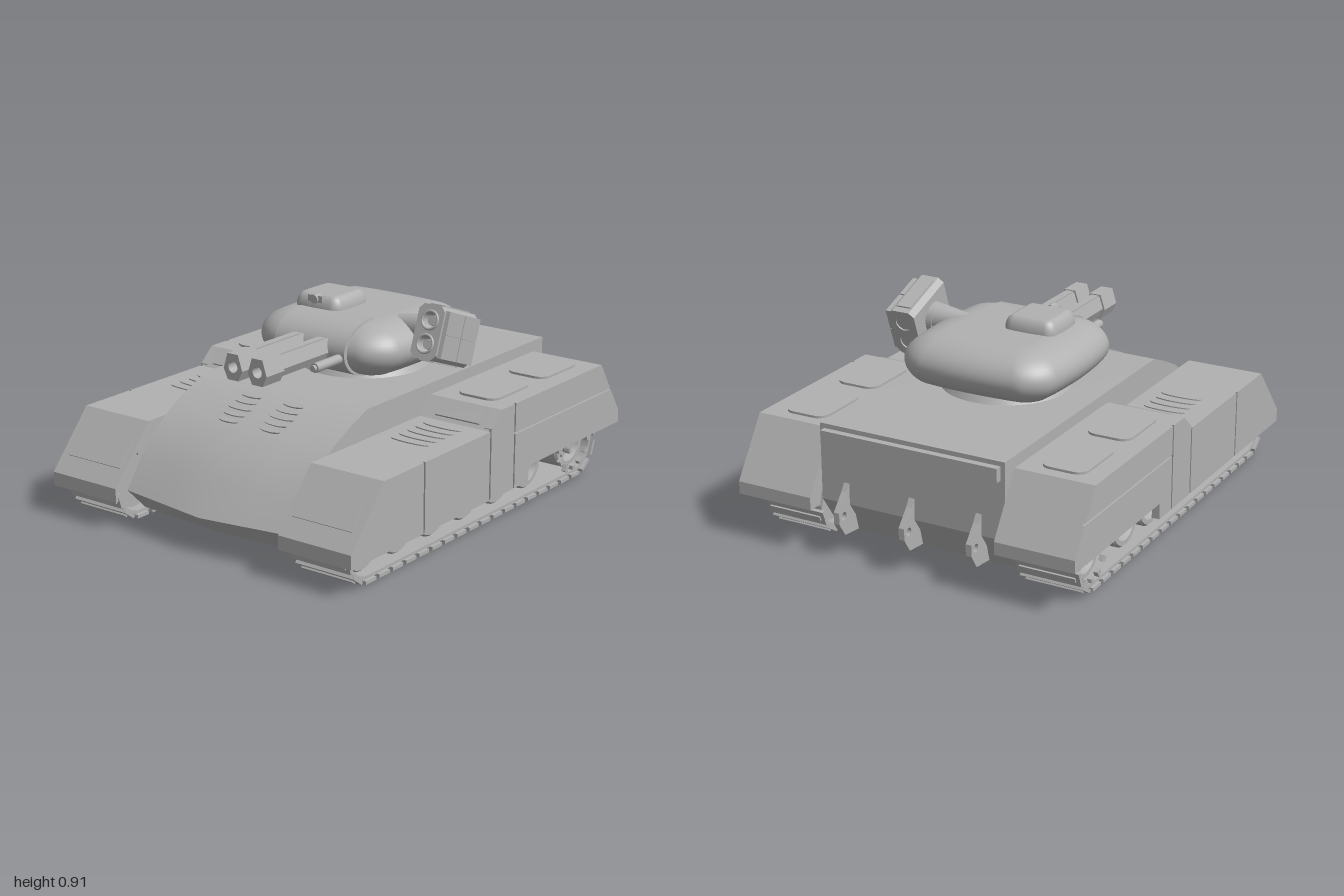
import * as THREE from 'three';
import { toCreasedNormals } from 'three/addons/utils/BufferGeometryUtils.js';
import { ParametricGeometry } from 'three/addons/geometries/ParametricGeometry.js';

const grey = new THREE.MeshStandardMaterial({ color: 0xb0b0b0 });
grey.name = 'plain grey';

function add(parent, name, geo, x = 0, y = 0, z = 0, rx = 0, ry = 0, rz = 0) {
  const m = new THREE.Mesh(geo, grey);
  m.name = name;
  m.position.set(x, y, z);
  m.rotation.set(rx, ry, rz);
  parent.add(m);
}
const box = (w, h, d) => new THREE.BoxGeometry(w, h, d);
const cyl = (r1, r2, h, n = 24) => new THREE.CylinderGeometry(r1, r2, h, n);
const toShape = pts => new THREE.Shape(pts.map(p => new THREE.Vector2(...p)));

// Extrude a (z, y) side profile across x, between xa and xb
function slab(profile, xa, xb, steps = 1) {
  const s = Array.isArray(profile) ? toShape(profile) : profile;
  const g = new THREE.ExtrudeGeometry(s, { depth: Math.abs(xb - xa), bevelEnabled: false, steps, curveSegments: 16 });
  return g.rotateY(-Math.PI / 2).translate(Math.max(xa, xb), 0, 0);
}

// Flat rounded plate lying in xz
function plate(w, l, r, h) {
  const a = w / 2 - r, b = l / 2 - r, s = new THREE.Shape();
  s.absarc(a, b, r, 0, Math.PI / 2);
  s.absarc(-a, b, r, Math.PI / 2, Math.PI);
  s.absarc(-a, -b, r, Math.PI, Math.PI * 1.5);
  s.absarc(a, -b, r, Math.PI * 1.5, Math.PI * 2);
  return new THREE.ExtrudeGeometry(s, { depth: h, bevelEnabled: false, curveSegments: 6 }).rotateX(-Math.PI / 2);
}

// Cushion form: rounded square plan with an elliptical edge
function cushion(half, core, edge, hy) {
  const flat = v => THREE.MathUtils.clamp(v * 2.2, -1, 1);
  return new ParametricGeometry((u, v, t) => {
    const a = u * Math.PI * 2, cap = 1 / 8;
    const phi = Math.PI / 2 - Math.PI * THREE.MathUtils.clamp((v - cap) / (1 - 2 * cap), 0, 1);
    const k = Math.max(0.01, Math.min(1, v / cap, (1 - v) / cap));
    const r = half - core - edge + edge * Math.cos(phi);
    const c = Math.cos(a), s = Math.sin(a);
    t.set(k * (core * flat(c) + r * c), hy * Math.sin(phi), k * (core * flat(s) + r * s));
  }, 64, 32);
}

const slot = (w, l) => cyl(0.5, 0.5, 0.008, 12).scale(w, 1, l);

function buildHull(g) {
  // Wedge nose swept back towards the sides
  const geo = slab([[-0.91, 0.555], [0.42, 0.555], [0.54, 0.51], [0.66, 0.458], [0.78, 0.38], [0.88, 0.28],
    [0.975, 0.155], [0.86, 0.06], [-0.8, 0.06], [-0.91, 0.22]], -0.43, 0.43, 4);
  const p = geo.attributes.position;
  for (let i = 0; i < p.count; i++) {
    const z = p.getZ(i), k = Math.abs(p.getX(i)) / 0.43;
    if (z > 0.43) p.setZ(i, z - 0.045 * k * (z - 0.43) / 0.54);
    if (z > 0.9) p.setY(i, p.getY(i) + 0.01 * k);
  }
  add(g, 'hull', toCreasedNormals(geo, 0.5));
  add(g, 'rearPlate', box(0.82, 0.06, 0.03), 0, 0.505, -0.925);
  for (const s of [-1, 1]) for (let i = 0; i < 5; i++) {
    const z = 0.5 + i * 0.038;
    add(g, 'noseVent', slot(0.13 - Math.abs(i - 2) * 0.012, 0.024), s * 0.11, 0.528 - (z - 0.5) * 0.44, z, 0.41);
  }
  // Rear towing hooks
  const hook = toShape([[-0.9, 0.33], [-0.93, 0.28], [-0.99, 0.21], [-0.99, 0.16], [-0.95, 0.1], [-0.85, 0.09], [-0.88, 0.2]]);
  const eye = new THREE.Path();
  eye.absarc(-0.955, 0.185, 0.018, 0, Math.PI * 2);
  hook.holes.push(eye);
  for (const x of [-0.31, 0, 0.31]) add(g, 'towHook', slab(hook, x - 0.013, x + 0.013));
}

function buildFender(g, s) {
  add(g, 'fender', slab([[1, 0.13], [1, 0.19], [0.79, 0.43], [0.05, 0.43], [-0.03, 0.505], [-0.835, 0.505],
    [-1, 0.255], [-1, 0.2], [-0.93, 0.2], [-0.9, 0.315], [0.86, 0.315], [0.985, 0.17], [0.985, 0.13]], s * 0.43, s * 0.775));
  // Side armour panels separated by narrow gaps
  const panels = [
    [[1, 0.13], [1, 0.19], [0.79, 0.43], [0.525, 0.43], [0.525, 0.13]],
    [[0.515, 0.13], [0.515, 0.43], [0.053, 0.43], [0.053, 0.13]],
    [[0.043, 0.13], [0.043, 0.44], [-0.03, 0.505], [-0.13, 0.505], [-0.13, 0.13]],
    [[-0.14, 0.378], [-0.14, 0.505], [-0.835, 0.505], [-0.919, 0.378]],
    [[-0.14, 0.37], [-0.924, 0.37], [-1, 0.255], [-1, 0.2], [-0.25, 0.2], [-0.25, 0.13], [-0.14, 0.13]],
  ];
  for (const pts of panels) add(g, 'sideArmour', slab(pts, s * 0.75, s * 0.785));
  add(g, 'frontPanel', box(0.29, 0.012, 0.13), s * 0.6, 0.306, 0.9, 0.852);
  add(g, 'stepVent', box(0.22, 0.02, 0.07), s * 0.61, 0.468, 0.011, 0.75);
  for (const z of [-0.632, -0.245]) add(g, 'deckHatch', plate(0.2, 0.295, 0.05, 0.012), s * 0.605, 0.503, z);
  for (let i = 0; i < 5; i++) add(g, 'deckVent', slot(0.19, 0.035), s * 0.595, 0.431, 0.122 + i * 0.058);
}

// Wheel line: front and rear axle z, axle height
const ZF = 0.81, ZR = -0.73, YC = 0.155;

function beltPath(r, Type) {
  const p = new Type();
  p.absarc(ZF, YC, r, -Math.PI / 2, Math.PI / 2);
  p.absarc(ZR, YC, r, Math.PI / 2, Math.PI * 1.5);
  p.closePath();
  return p;
}

function buildTrack(g, s) {
  const belt = beltPath(0.135, THREE.Shape);
  belt.holes.push(beltPath(0.12, THREE.Path));
  add(g, 'trackBelt', toCreasedNormals(slab(belt, s * 0.47, s * 0.725), 0.5));
  // Shoes with a raised rib, spaced round the belt
  const run = ZF - ZR, arc = Math.PI * 0.14, total = 2 * (run + arc), n = 44;
  for (let i = 0; i < n; i++) {
    let d = i / n * total, z = ZR, a = 0;
    const top = d >= run + arc;
    if (top) d -= run + arc;
    if (d < run) z = ZF - d; else a = (d - run) / 0.14;
    if (top) { z = ZF + ZR - z; a += Math.PI; }
    const shoe = new THREE.Group();
    shoe.name = 'trackShoe';
    shoe.position.set(s * 0.597, YC, z);
    shoe.rotation.x = a;
    add(shoe, 'shoePlate', box(0.285, 0.015, 0.068), 0, -0.14, 0);
    add(shoe, 'shoeRib', box(0.25, 0.012, 0.022), 0, -0.149, 0);
    g.add(shoe);
  }
  // Road wheels with dished faces
  const profile = [[0.001, -0.1], [0.113, -0.1], [0.113, 0.08], [0.105, 0.09], [0.085, 0.09], [0.075, 0.055],
    [0.05, 0.055], [0.042, 0.085], [0.03, 0.092], [0.001, 0.092]].map(q => new THREE.Vector2(...q));
  const wheel = toCreasedNormals(new THREE.LatheGeometry(profile, 28), 0.5);
  for (const z of [ZF, 0.57, 0.335, 0.1, -0.14, -0.38, ZR])
    add(g, 'roadWheel', wheel, s * 0.605, YC, z, 0, 0, -s * Math.PI / 2);
  for (let i = 0; i < 12; i++) {
    const a = i / 12 * Math.PI * 2;
    add(g, 'sprocketTooth', box(0.02, 0.03, 0.025), s * 0.715, YC + 0.118 * Math.cos(a), ZR + 0.118 * Math.sin(a), a);
    if (i % 2) add(g, 'hubBolt', cyl(0.011, 0.011, 0.03, 8), s * 0.67, YC + 0.063 * Math.cos(a), ZR + 0.063 * Math.sin(a), 0, 0, Math.PI / 2);
  }
}

function buildTurret(g) {
  add(g, 'turretRing', cyl(0.25, 0.285, 0.06, 48), 0, 0.58, -0.135);
  add(g, 'turretShell', cushion(0.372, 0.17, 0.18, 0.117), -0.003, 0.692, -0.132);
  add(g, 'mantlet', cyl(1, 1, 0.372, 40).rotateZ(Math.PI / 2).scale(1, 0.12, 0.178), -0.005, 0.692, 0.07);
  add(g, 'commanderHatch', cushion(0.122, 0.07, 0.04, 0.062), -0.122, 0.805, -0.062);
  add(g, 'hatchSight', box(0.075, 0.03, 0.04), -0.122, 0.85, 0.035);
  add(g, 'hatchLens', cyl(0.02, 0.02, 0.04, 16), -0.122, 0.85, 0.045, Math.PI / 2);
  // Twin six-sided guns
  const prism = (w, h, depth, bore) => {
    const sh = toShape([[-w / 2, -h * 0.1], [-w * 0.28, -h / 2], [w * 0.28, -h / 2], [w / 2, -h * 0.1], [w * 0.28, h / 2], [-w * 0.28, h / 2]]);
    if (bore) sh.holes.push(new THREE.Path().absarc(0, 0, bore, 0, Math.PI * 2));
    return new THREE.ExtrudeGeometry(sh, { depth, bevelEnabled: false });
  };
  for (const s of [-1, 1]) {
    const x = s * 0.064 - 0.004;
    add(g, 'gunBarrel', prism(0.078, 0.09, 0.38), x, 0.703, 0.2);
    add(g, 'gunMuzzle', prism(0.098, 0.112, 0.115, 0.024), x, 0.701, 0.553);
    add(g, 'gunTopRail', box(0.035, 0.018, 0.3), x, 0.745, 0.4);
    add(g, 'sideGun', cyl(0.021, 0.021, 0.2, 12), s * 0.156 - 0.004, 0.675, 0.31, Math.PI / 2);
    add(g, 'sideGunTip', cyl(0.014, 0.014, 0.03, 12), s * 0.156 - 0.004, 0.675, 0.41, Math.PI / 2);
  }
}

function buildLauncher(g) {
  add(g, 'launcherArm', cyl(0.035, 0.066, 0.2), 0.28, 0.768, -0.085, 0, 0, Math.PI / 2);
  add(g, 'launcherJoint', cyl(0.072, 0.072, 0.025), 0.375, 0.76, -0.082, 0, 0, Math.PI / 2);
  add(g, 'launcherPivot', cyl(0.055, 0.055, 0.05), 0.395, 0.76, -0.08, 0, 0, Math.PI / 2);
  // Upward-tilted casing with chamfered corners and two tubes
  const pod = new THREE.Group();
  pod.name = 'launcher';
  pod.position.set(0.465, 0.757, -0.073);
  pod.rotation.x = -0.35;
  const w = 0.064, h = 0.115, c = 0.022;
  const face = toShape([[-w, c - h], [c - w, -h], [w - c, -h], [w, c - h], [w, h - c], [w - c, h], [c - w, h], [-w, h - c]]);
  for (const y of [-0.05, 0.05]) face.holes.push(new THREE.Path().absarc(0, y, 0.036, 0, Math.PI * 2));
  add(pod, 'launcherCasing', new THREE.ExtrudeGeometry(face, { depth: 0.265, bevelEnabled: false, curveSegments: 12 }), 0, 0, -0.132);
  for (const y of [-0.05, 0.05]) {
    add(pod, 'missile', cyl(0.022, 0.036, 0.24, 20), 0, y, -0.005, Math.PI / 2);
    add(pod, 'tubeRim', new THREE.TorusGeometry(0.038, 0.006, 8, 24), 0, y, 0.133);
    for (const z of [-0.062, 0.062]) add(pod, 'launcherSidePlate', box(0.022, 0.098, 0.118), 0.072, y, z);
  }
  for (const s of [-1, 1]) add(pod, 'launcherEndPlate', box(0.07, 0.012, 0.2), 0, s * 0.115, 0);
  g.add(pod);
}

export function createModel() {
  const g = new THREE.Group();
  g.name = 'tank';
  buildHull(g);
  for (const s of [-1, 1]) {
    buildFender(g, s);
    buildTrack(g, s);
  }
  buildTurret(g);
  buildLauncher(g);
  return g;
}
